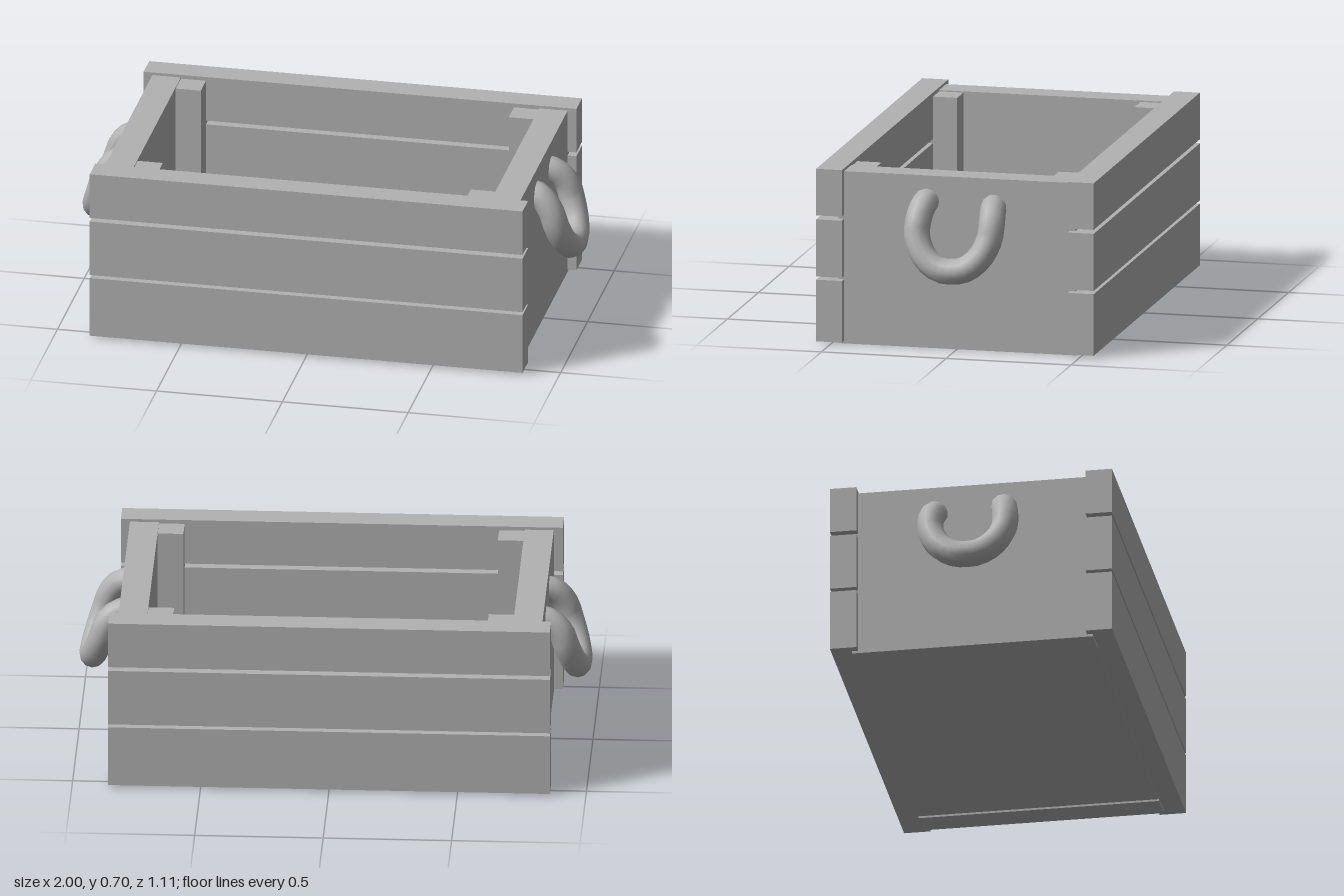
import * as THREE from 'three';

export function createModel() {
  const model = new THREE.Group();
  model.name = 'crate';
  const grey = new THREE.MeshStandardMaterial({ color: 0xb2b2b2 });
  grey.name = 'plain grey';

  // Box given by its lower and upper limits on each axis
  function board(name, [x0, x1], [y0, y1], [z0, z1]) {
    const mesh = new THREE.Mesh(new THREE.BoxGeometry(x1 - x0, y1 - y0, z1 - z0), grey);
    mesh.position.set((x0 + x1) / 2, (y0 + y1) / 2, (z0 + z1) / 2);
    mesh.name = name;
    model.add(mesh);
  }
  const side = (s, a, b) => (s > 0 ? [a, b] : [-b, -a]);

  // Floor
  board('floor', [-0.715, 0.715], [0.008, 0.1], [-0.47, 0.47]);

  // Long slats, front and back
  for (const s of [1, -1]) {
    for (const rows of [[0.01, 0.255], [0.268, 0.495], [0.511, 0.696]]) {
      board('slat', [-0.86, 0.86], rows, side(s, 0.452, 0.556));
    }
  }

  // Rope handle path, drooping outward from the end panel
  const path = [
    [0.77, 0.59, 0.11], [0.84, 0.575, 0.128], [0.885, 0.52, 0.14], [0.907, 0.455, 0.139],
    [0.93, 0.385, 0.105], [0.944, 0.342, 0.05], [0.947, 0.334, 0],
    [0.944, 0.342, -0.055], [0.93, 0.385, -0.112], [0.907, 0.455, -0.148],
    [0.885, 0.52, -0.154], [0.84, 0.565, -0.148], [0.77, 0.58, -0.145],
  ];

  for (const s of [1, -1]) {
    // End panel
    board('endPanel', side(s, 0.712, 0.825), [0, 0.685], [-0.475, 0.475]);
    // Inner corner posts
    for (const t of [1, -1]) {
      board('cornerPost', side(s, 0.612, 0.72), [0.012, 0.68], side(t, 0.355, 0.483));
    }
    // Handle
    const curve = new THREE.CatmullRomCurve3(path.map(([x, y, z]) => new THREE.Vector3(s * x, y, z)));
    const handle = new THREE.Mesh(new THREE.TubeGeometry(curve, 28, 0.051, 12), grey);
    handle.name = 'handle';
    model.add(handle);
  }
  return model;
}
